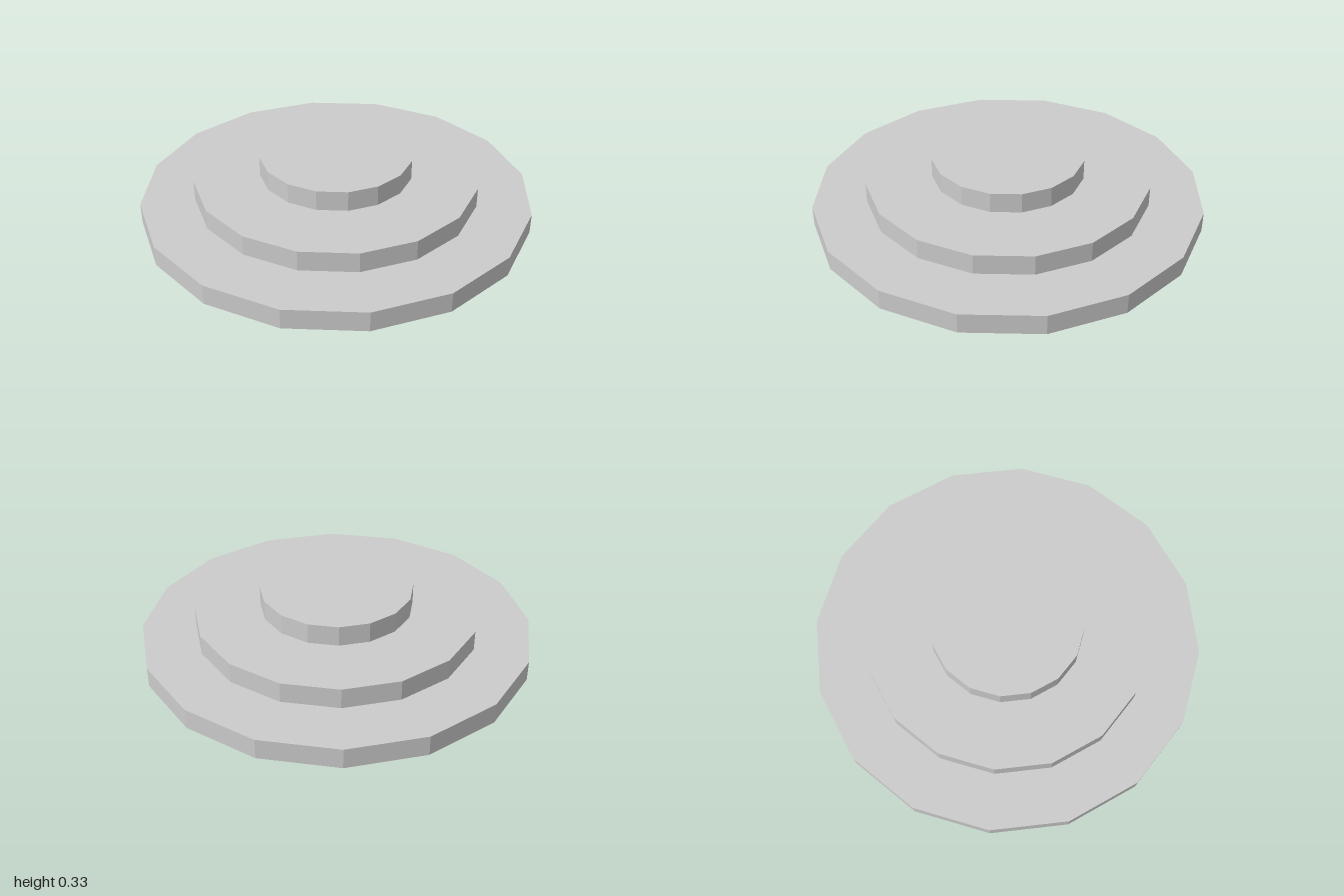
import * as THREE from 'three';

const SIDES = 16;
const THICKNESS = 0.104;
const STEP = 0.112; // disc thickness plus the thin gap above it

export function createModel() {
  const model = new THREE.Group();
  model.name = 'steppedDiscs';
  const material = new THREE.MeshStandardMaterial({ color: 0xcccccc, flatShading: true });

  // Three faceted discs, stacked with a narrow gap between them
  const tiers = [['lowerDisc', 1], ['middleDisc', 0.725], ['upperDisc', 0.389]];
  tiers.forEach(([name, radius], i) => {
    const disc = new THREE.Mesh(new THREE.CylinderGeometry(radius, radius, THICKNESS, SIDES), material);
    disc.name = name;
    disc.position.y = i * STEP + THICKNESS / 2;
    model.add(disc);
  });

  return model;
}
